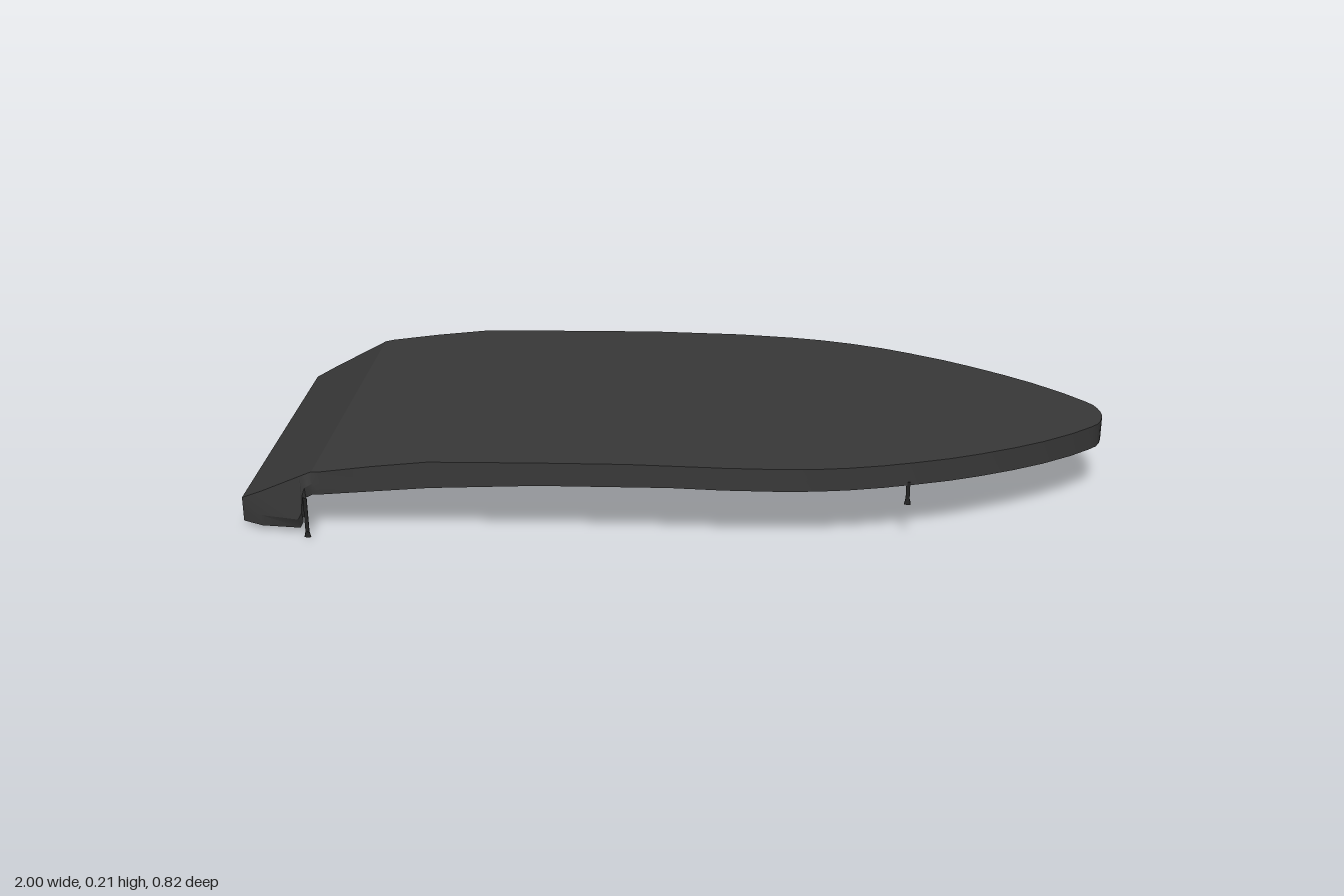
import * as THREE from 'three';
import { toCreasedNormals } from 'three/addons/utils/BufferGeometryUtils.js';

// Piecewise-linear lookup in a list of [x, value] pairs
function sample(points, x) {
  for (let i = 1; i < points.length; i++) {
    const [x0, v0] = points[i - 1], [x1, v1] = points[i];
    if (x <= x1) return v0 + (v1 - v0) * (x - x0) / (x1 - x0);
  }
  return points[points.length - 1][1];
}

// Profiles along the length: crest height, hem height, plan half-width
const crest = [[-1, 0.072], [-0.82, 0.163], [-0.68, 0.184], [-0.55, 0.2], [-0.3, 0.207],
  [-0.1, 0.211], [0.1, 0.21], [0.5, 0.204], [1, 0.192]];
const hem = [[-1, 0.012], [-0.86, 0.012], [-0.85, 0.03], [-0.845, 0.075], [-0.838, 0.096],
  [-0.82, 0.107], [-0.55, 0.135], [-0.3, 0.15], [0, 0.156], [0.5, 0.149], [1, 0.134]];
const width = [[-1, 0.36], [-0.95, 0.376], [-0.83, 0.396], [-0.8, 0.404], [0.12, 0.404],
  [0.25, 0.397], [0.33, 0.387], [0.4, 0.373], [0.48, 0.351], [0.55, 0.326], [0.63, 0.294],
  [0.7, 0.26], [0.78, 0.216], [0.85, 0.172], [0.92, 0.119], [0.97, 0.073], [0.985, 0.056],
  [0.994, 0.035], [0.999, 0.015], [1, 0]];
const bulge = [[-1, 0], [-0.95, 0.008], [-0.83, 0.009], [-0.8, 0]];
const tuck = [[-1, 0], [-0.95, 0.003], [-0.86, 0.014], [-0.83, 0.005], [-0.8, 0]];

const stations = [...new Set([...crest, ...hem, ...width].map(p => p[0]))].sort((a, b) => a - b);

// Surface through a list of equally long rows of points
function loft(rows, crease) {
  const n = rows[0].length, index = [];
  for (let r = 0; r < rows.length - 1; r++) {
    for (let i = 0; i < n - 1; i++) {
      const a = r * n + i, b = a + n;
      index.push(a, b, a + 1, a + 1, b, b + 1);
    }
  }
  const geo = new THREE.BufferGeometry();
  geo.setAttribute('position', new THREE.Float32BufferAttribute(rows.flat(2), 3));
  geo.setIndex(index);
  return toCreasedNormals(geo, crease);
}

export function createModel() {
  const group = new THREE.Group();
  group.name = 'boatCover';
  const canvas = new THREE.MeshStandardMaterial({ color: 0x383838, side: THREE.DoubleSide });
  canvas.name = 'charcoal canvas';
  const fitting = new THREE.MeshStandardMaterial({ color: 0x222222 });
  fitting.name = 'black fitting';

  const add = (name, geo, mat, parent = group) => {
    const mesh = new THREE.Mesh(geo, mat);
    mesh.name = name;
    parent.add(mesh);
    return mesh;
  };

  // Top panel, flat across and arched along its length
  const deckRows = stations.map(x => {
    const w = sample(width, x), y = sample(crest, x);
    return [[x, y, -w], [x, y, w]];
  });
  add('topPanel', loft(deckRows.reverse(), 0.3), canvas);

  // Hanging skirt, running from the stern around the bow and back
  const skirtPoint = (x, side) => {
    const w = sample(width, x), top = sample(crest, x), low = sample(hem, x);
    const mid = Math.max(low + 0.01, Math.min(top - 0.02, low + 0.028));
    const out = sample(bulge, x);
    return [[x, top, side * w], [x, mid, side * (w + out)],
      [x, low, side * (w + out - sample(tuck, x))]];
  };
  const skirtRows = [
    ...stations.map(x => skirtPoint(x, 1)),
    ...stations.slice(0, -1).reverse().map(x => skirtPoint(x, -1)),
  ].map(row => row.reverse());
  add('skirt', loft(skirtRows, 0.4), canvas);

  // Stern panel closing the back end
  add('sternPanel', loft([
    [[-1, 0.072, -0.36], [-1, 0.072, 0.36]],
    [[-1, 0.012, -0.36], [-1, 0.012, 0.36]],
  ], 0.3), canvas);

  // Hanging straps with small weights, mirrored on both sides
  for (const side of [1, -1]) {
    const label = side > 0 ? 'front' : 'back';
    for (const [part, x, z, bottom, top] of [
      ['Stern', -0.838, 0.407, 0, 0.1],
      ['Bow', 0.535, 0.331, 0.1, 0.156],
    ]) {
      const strap = new THREE.Group();
      strap.name = label + part + 'Strap';
      strap.position.set(x, bottom, side * z);
      group.add(strap);
      add('cord', new THREE.BoxGeometry(0.009, top - bottom, 0.002), fitting, strap)
        .position.y = (top - bottom) / 2;
      add('hook', new THREE.CylinderGeometry(0.005, 0.008, 0.014, 8).scale(1, 1, 0.4), fitting, strap)
        .position.y = 0.007;
    }
  }
  return group;
}
